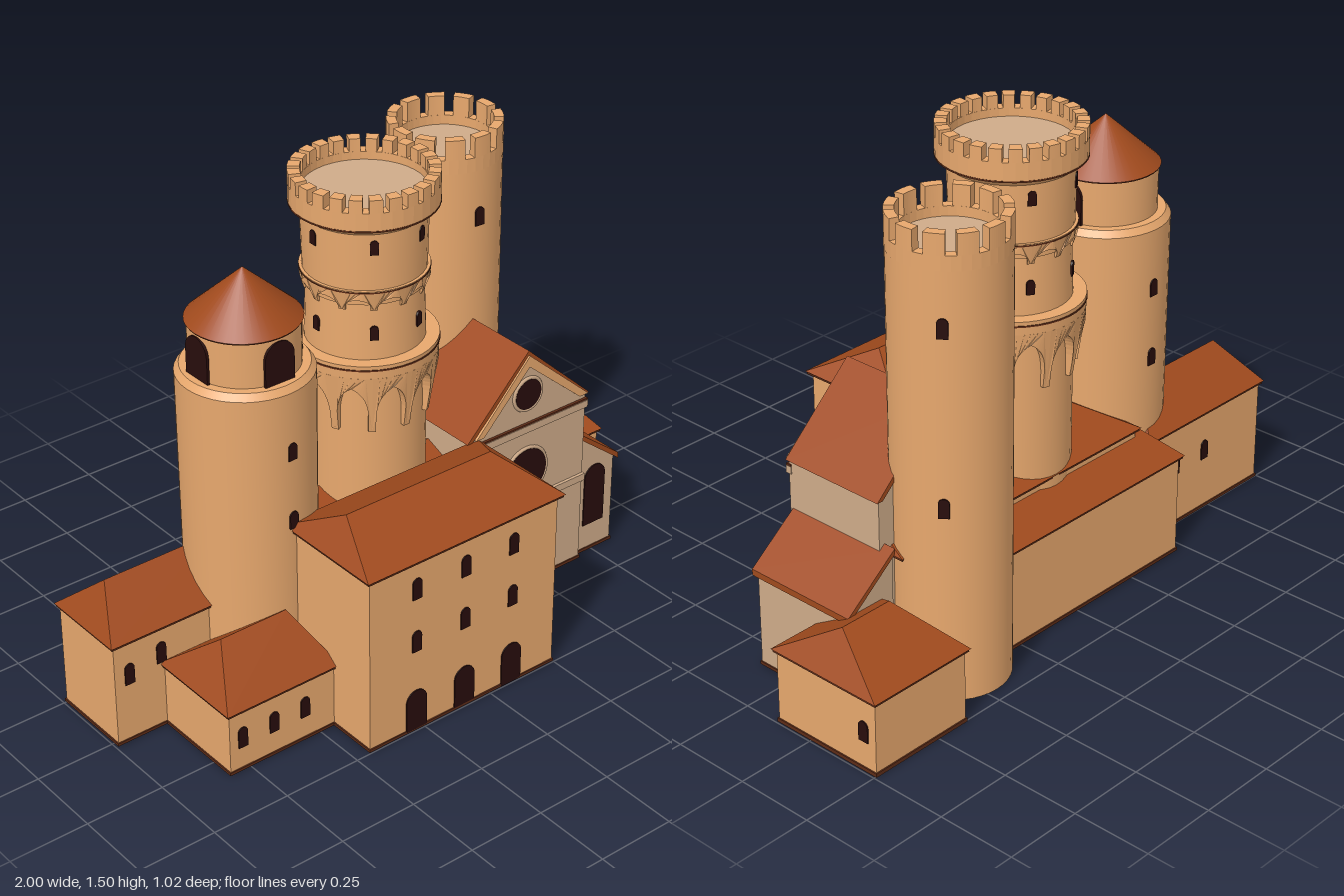
import * as THREE from 'three';

const mat = (name, color) => {
  const m = new THREE.MeshStandardMaterial({ color });
  m.name = name;
  return m;
};

export function createModel() {
  const root = new THREE.Group();
  root.name = 'fortifiedTown';
  const wall = mat('sandstone', 0xe9a96e), roof = mat('terracotta', 0xa04a1d);
  const stone = mat('paleStone', 0xcfab89), dark = mat('darkOpening', 0x280d0c);
  const trim = mat('darkTrim', 0x5e2c17);

  const add = (name, geo, material, x = 0, y = 0, z = 0, ry = 0) => {
    const m = new THREE.Mesh(geo, material);
    m.name = name;
    m.position.set(x, y, z);
    m.rotation.y = ry;
    root.add(m);
    return m;
  };
  // box given by its extents
  const block = (name, material, x0, x1, y0, y1, z0, z1) =>
    add(name, new THREE.BoxGeometry(x1 - x0, y1 - y0, z1 - z0), material,
      (x0 + x1) / 2, (y0 + y1) / 2, (z0 + z1) / 2);
  const drum = (name, material, x, z, y0, y1, r0, r1 = r0) =>
    add(name, new THREE.CylinderGeometry(r1, r0, y1 - y0, 40), material, x, (y0 + y1) / 2, z);
  // polygon in x/y extruded from z0 to z1
  const prism = (name, material, pts, z0, z1) => {
    const s = new THREE.Shape(pts.map(p => new THREE.Vector2(...p)));
    return add(name, new THREE.ExtrudeGeometry(s, { depth: z1 - z0, bevelEnabled: false }), material, 0, 0, z0);
  };
  // hipped roof: eave rectangle rising to a ridge along x
  const hip = (name, x0, x1, z0, z1, y0, y1, r0, r1, zr = (z0 + z1) / 2) => {
    const a = [x0, y0, z1], b = [x1, y0, z1], c = [x1, y0, z0], d = [x0, y0, z0];
    const e = [r0, y1, zr], f = [r1, y1, zr];
    const tris = [a, b, f, a, f, e, c, d, e, c, e, f, b, c, f, d, a, e, a, d, c, a, c, b];
    const g = new THREE.BufferGeometry();
    g.setAttribute('position', new THREE.Float32BufferAttribute(tris.flat(), 3));
    g.computeVertexNormals();
    add(name, g, roof);
    block(name + 'Eave', trim, x0 + 0.004, x1 - 0.004, y0 - 0.009, y0 - 0.001, z0 + 0.004, z1 - 0.004);
  };
  // arched plate, bottom centre at the given point
  const arch = (name, w, h, x, y, z, ry = 0) => {
    const s = new THREE.Shape();
    s.moveTo(-w / 2, 0);
    s.lineTo(w / 2, 0);
    s.lineTo(w / 2, h - w / 2);
    s.absarc(0, h - w / 2, w / 2, 0, Math.PI, false);
    s.lineTo(-w / 2, 0);
    const g = new THREE.ExtrudeGeometry(s, { depth: 0.008, bevelEnabled: false, curveSegments: 8 });
    g.translate(0, 0, -0.004);
    add(name, g, dark, x, y, z, ry);
  };
  // arched plate on a round tower, angle in degrees from the front towards +x
  const towerArch = (name, cx, cz, r, deg, y, w, h) => {
    const a = deg * Math.PI / 180;
    arch(name, w, h, cx + Math.sin(a) * r, y, cz + Math.cos(a) * r, a);
  };
  // ring of merlons
  const merlons = (name, material, cx, cz, y0, y1, r, t, n, fill) => {
    const half = Math.PI / n * fill;
    const s = new THREE.Shape();
    s.absarc(0, 0, r, -half, half, false);
    s.absarc(0, 0, r - t, half, -half, true);
    const g = new THREE.ExtrudeGeometry(s, { depth: y1 - y0, bevelEnabled: false, curveSegments: 4 });
    g.rotateX(-Math.PI / 2);
    for (let i = 0; i < n; i++) add(name, g, material, cx, y0, cz, i / n * Math.PI * 2);
  };
  // open-topped parapet wall
  const parapet = (name, material, cx, cz, y0, y1, r, t) => {
    const pts = [[r - t, y0], [r, y0], [r, y1], [r - t, y1], [r - t, y0]].map(p => new THREE.Vector2(...p));
    const g = new THREE.LatheGeometry(pts, 40).toNonIndexed();
    g.computeVertexNormals();
    add(name, g, material, cx, 0, cz);
  };
  // blind arcade bent round a tower; each bay is a panel with an arched notch
  const arcade = (name, material, cx, cz, y0, ySpring, yPeak, y1, rIn, rOut, n, leg, pointed) => {
    const half = Math.PI / n, w = half * (1 - leg);
    const s = new THREE.Shape();
    s.moveTo(-half, y0);
    s.lineTo(-w, y0);
    s.lineTo(-w, ySpring);
    if (pointed) {
      const yc = ySpring + 0.75 * (yPeak - ySpring);
      s.quadraticCurveTo(-w, yc, 0, yPeak);
      s.quadraticCurveTo(w, yc, w, ySpring);
    } else s.bezierCurveTo(-w, yPeak + 0.01, w, yPeak + 0.01, w, ySpring);
    s.lineTo(w, y0);
    s.lineTo(half, y0);
    for (let i = 0; i <= 6; i++) s.lineTo(half - i / 3 * half, y1);
    const g = new THREE.ExtrudeGeometry(s, { depth: 1, bevelEnabled: false, curveSegments: 8 });
    const p = g.attributes.position;
    for (let i = 0; i < p.count; i++) {
      const a = p.getX(i), y = p.getY(i);
      const lean = 0.5 + 0.5 * Math.min(1, (y - y0) / (yPeak - y0));
      const r = rIn - 0.01 + p.getZ(i) * (rOut - rIn + 0.01) * lean;
      p.setXYZ(i, Math.sin(a) * r, y, Math.cos(a) * r);
    }
    g.computeVertexNormals();
    for (let i = 0; i < n; i++) add(name, g, material, cx, 0, cz, (i + 0.5) * 2 * half);
  };
  // rectangular house with footing and hipped roof
  const house = (name, x0, x1, z0, z1, h, peak, r0, r1, { o = 0.012, base = 0 } = {}) => {
    block(name + 'Walls', wall, x0, x1, base, h, z0, z1);
    block(name + 'Footing', trim, x0 - 0.004, x1 + 0.004, base ? 0 : 0.003, 0.012, z0 - 0.004, z1 + 0.004);
    hip(name + 'Roof', x0 - o, x1 + o, z0 - o, z1 + o, h, peak, r0, r1);
  };

  // Great hall
  house('hall', -0.45, 0.245, 0.14, 0.495, 0.595, 0.695, -0.39, 0.14, { o: 0.017 });
  for (const x of [-0.28, -0.1, 0.08]) {
    arch('hallDoor', 0.075, 0.14, x, 0.003, 0.495);
    for (const y of [0.28, 0.46]) arch('hallWindow', 0.034, 0.07, x, y, 0.495);
  }

  // Left houses
  house('leftBackHouse', -0.99, -0.45, -0.25, 0.02, 0.35, 0.475, -0.92, -0.55);
  arch('houseWindow', 0.032, 0.07, -0.94, 0.2, 0.02);
  arch('houseWindow', 0.032, 0.07, -0.83, 0.225, 0.02);
  for (const x of [-0.58, -0.72]) arch('houseWindow', 0.032, 0.065, x, 0.18, -0.25, Math.PI);
  house('leftFrontHouse', -0.82, -0.445, 0.02, 0.33, 0.215, 0.345, -0.73, -0.5);
  for (const x of [-0.775, -0.665, -0.555]) arch('houseWindow', 0.032, 0.068, x, 0.083, 0.33);

  // Right house, raised on a dark base
  house('rightHouse', 0.64, 0.99, -0.5, -0.12, 0.24, 0.36, 0.74, 0.92, { base: 0.005 });
  arch('houseWindow', 0.035, 0.065, 0.955, 0.095, -0.12);
  arch('houseWindow', 0.035, 0.065, 0.99, 0.095, -0.455, Math.PI / 2);

  // Back range with stepped lean-to roofs
  block('backRangeWalls', wall, -0.46, 0.6, 0, 0.335, -0.355, 0.12);
  block('backRangeFooting', trim, -0.464, 0.5, 0.003, 0.013, -0.359, 0.1);
  hip('backRangeRoof', -0.475, 0.61, -0.367, 0.125, 0.335, 0.46, -0.36, 0.56, -0.15);
  block('upperRangeWalls', wall, -0.37, 0.62, 0.335, 0.43, -0.255, 0.11);
  hip('upperRangeRoof', -0.385, 0.645, -0.268, 0.12, 0.43, 0.51, -0.25, 0.6, -0.08);

  // Church nave and aisle
  block('churchBase', wall, 0.24, 0.83, 0, 0.003, -0.245, 0.122);
  prism('naveWalls', stone, [[0.24, 0.003], [0.68, 0.003], [0.68, 0.61], [0.44, 0.825], [0.24, 0.61]], -0.215, 0.14);
  prism('naveRoof', roof, [[0.205, 0.605], [0.225, 0.605], [0.44, 0.82], [0.67, 0.61], [0.692, 0.61], [0.44, 0.843]],
    -0.222, 0.142);
  prism('gableCoping', wall, [[0.235, 0.61], [0.265, 0.61], [0.44, 0.79], [0.65, 0.61], [0.685, 0.61], [0.44, 0.828]],
    0.139, 0.148);
  for (const y of [0.575, 0.31]) block('naveCornice', stone, 0.24, 0.683, y - 0.012, y + 0.012, 0.13, 0.15);
  block('naveCorniceShadow', trim, 0.24, 0.683, 0.588, 0.594, 0.13, 0.149);
  block('churchFooting', trim, 0.25, 0.684, 0.003, 0.013, -0.2, 0.144);
  arch('churchDoor', 0.115, 0.21, 0.435, 0.004, 0.142);
  for (const [y, r] of [[0.42, 0.08], [0.695, 0.05]]) {
    const disc = new THREE.CylinderGeometry(r, r, 0.009, 28).rotateX(Math.PI / 2);
    add('roseWindow', disc, dark, 0.44, y, 0.1425);
    add('roseWindowFrame', new THREE.TorusGeometry(r + 0.004, 0.006, 6, 32), stone, 0.44, y, 0.142);
  }
  prism('aisleWalls', stone, [[0.66, 0.003], [0.83, 0.003], [0.83, 0.32], [0.66, 0.455]], -0.245, 0.122);
  prism('aisleRoof', roof, [[0.66, 0.45], [0.845, 0.305], [0.845, 0.325], [0.66, 0.468]], -0.255, 0.13);
  block('aisleFooting', trim, 0.67, 0.834, 0.003, 0.013, -0.249, 0.126);
  arch('aisleWindow', 0.085, 0.215, 0.752, 0.1, 0.122);

  // Left tower with belfry and conical roof
  const lx = -0.47, lz = -0.03;
  drum('leftTower', wall, lx, lz, 0, 1.045, 0.195, 0.2);
  drum('leftTowerShoulder', wall, lx, lz, 1.045, 1.065, 0.2, 0.185);
  drum('belfry', wall, lx, lz, 1.06, 1.21, 0.16);
  add('belfryRoof', new THREE.ConeGeometry(0.167, 0.15, 40), roof, lx, 1.283, lz);
  drum('belfryEave', trim, lx, lz, 1.203, 1.209, 0.164);
  for (const d of [0, 90, -90]) towerArch('belfryOpening', lx, lz, 0.16, d, 1.065, 0.1, 0.13);
  for (const [d, y] of [[3, 0.83], [3, 0.605], [180, 0.83], [180, 0.6]])
    towerArch('towerWindow', lx, lz, 0.198, d, y, 0.03, 0.055);

  // Central keep in three stages
  const kz = -0.085;
  drum('keepShaft', wall, 0, kz, 0, 0.97, 0.18, 0.18);
  arcade('keepArcade', wall, 0, kz, 0.74, 0.79, 0.895, 0.93, 0.18, 0.216, 11, 0.2, true);
  drum('keepGallery', wall, 0, kz, 0.93, 0.972, 0.216, 0.218);
  drum('keepGalleryTrim', trim, 0, kz, 0.955, 0.96, 0.2195);
  drum('keepMiddle', wall, 0, kz, 0.97, 1.16, 0.178, 0.172);
  arcade('keepFrieze', wall, 0, kz, 1.13, 1.142, 1.168, 1.197, 0.174, 0.19, 12, 0.22, false);
  drum('keepFriezeTrim', trim, 0, kz, 1.19, 1.194, 0.191);
  drum('keepTop', wall, 0, kz, 1.15, 1.4, 0.18, 0.186);
  drum('keepCorbel', wall, 0, kz, 1.375, 1.4, 0.188, 0.214);
  parapet('keepParapet', wall, 0, kz, 1.4, 1.455, 0.218, 0.036);
  drum('keepDeck', stone, 0, kz, 1.4, 1.43, 0.184);
  drum('keepParapetTrim', trim, 0, kz, 1.396, 1.401, 0.219);
  merlons('keepMerlon', wall, 0, kz, 1.455, 1.495, 0.218, 0.036, 24, 0.68);
  for (const d of [-30, 22, 80, 150, 210, 270]) {
    towerArch('keepWindow', 0, kz, 0.183, d, 1.31, 0.025, 0.045);
    towerArch('keepWindow', 0, kz, 0.176, d, 1.035, 0.025, 0.045);
  }

  // Right tower
  const tx = 0.465, tz = -0.285;
  drum('rightTower', wall, tx, tz, 0, 1.34, 0.173, 0.174);
  drum('rightTowerDeck', stone, tx, tz, 1.34, 1.35, 0.15);
  parapet('rightTowerParapet', wall, tx, tz, 1.335, 1.38, 0.175, 0.03);
  merlons('rightTowerMerlon', wall, tx, tz, 1.38, 1.443, 0.175, 0.03, 12, 0.66);
  for (const [d, y] of [[-3, 1.155], [127, 1.14], [127, 0.595]])
    towerArch('towerWindow', tx, tz, 0.174, d, y, 0.032, 0.06);

  return root;
}
